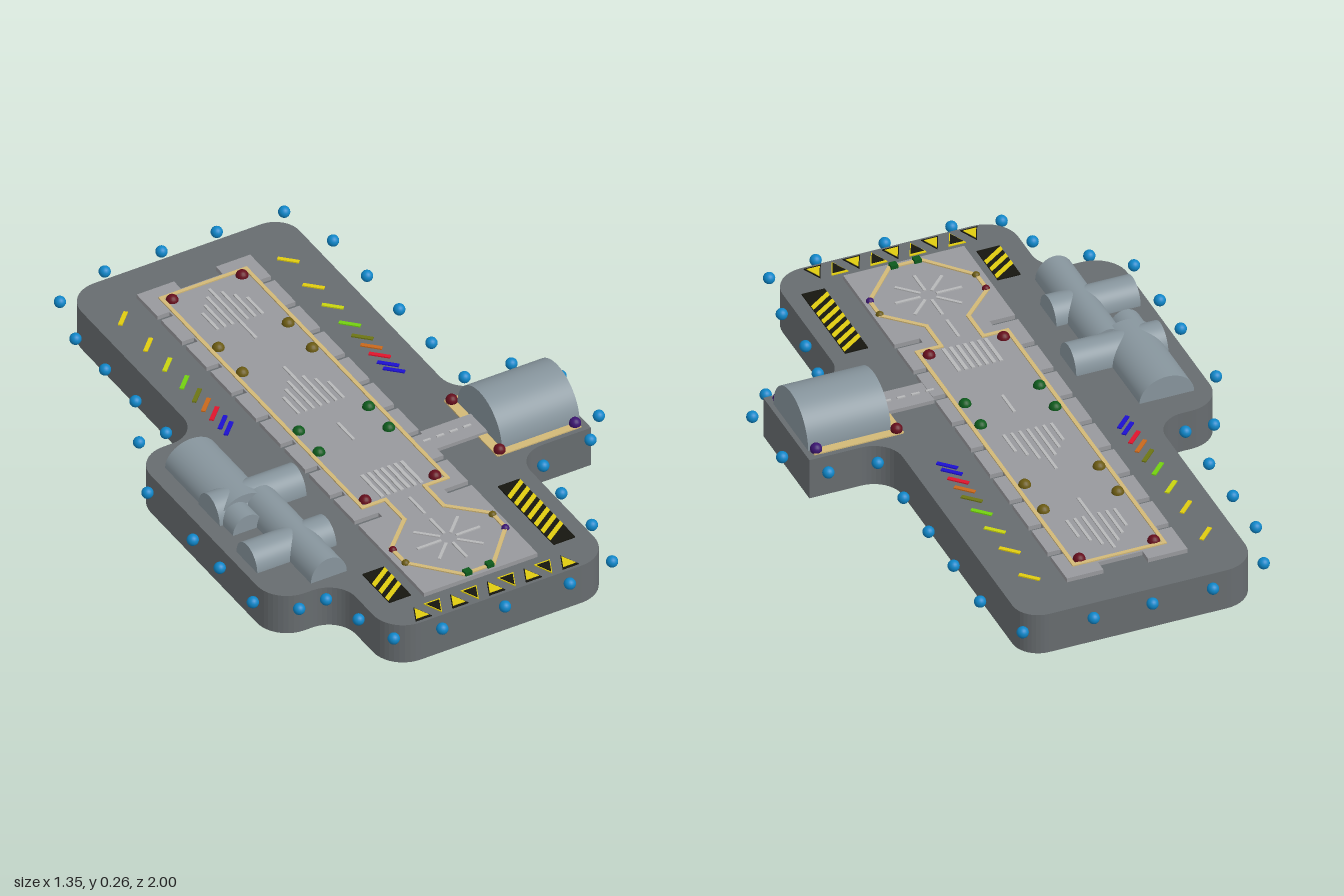
import * as THREE from 'three';

const DECK = 0.135, PLATE = 0.149;
const mats = {};
const mat = (c) => (mats[c] ??= new THREE.MeshStandardMaterial({ color: c }));
const YELLOW = 0xe0cc10, BLACK = 0x16160f, LINE = 0xd2b877, PAINT = 0xb6b7b9, RUNWAY = 0x98999d, STEEL = 0x87959d;

export function createModel() {
  const root = new THREE.Group();
  const group = (name) => {
    const g = new THREE.Group();
    g.name = name;
    root.add(g);
    return g;
  };
  const add = (parent, name, geo, color, x = 0, y = 0, z = 0, ry = 0) => {
    const m = new THREE.Mesh(geo, mat(color));
    m.name = name;
    m.position.set(x, y, z);
    m.rotation.y = ry;
    parent.add(m);
    return m;
  };
  // thin painted bar lying on a surface, centred at x, z
  const bar = (parent, name, color, x, z, w, d, y = PLATE, ry = 0, h = 0.004) =>
    add(parent, name, new THREE.BoxGeometry(w, h, d), color, x, y + h / 2, z, ry);
  // polygon (x, z points) raised from y by h
  const slab = (parent, name, color, pts, y, h) => {
    const s = new THREE.Shape(pts.map(([x, z]) => new THREE.Vector2(x, -z)));
    const g = new THREE.ExtrudeGeometry(s, { depth: h, bevelEnabled: false }).rotateX(-Math.PI / 2);
    return add(parent, name, g, color, 0, y, 0);
  };
  // painted line through points
  const path = (parent, name, pts, w, y) => {
    for (let i = 0; i + 1 < pts.length; i++) {
      const [[ax, az], [bx, bz]] = [pts[i], pts[i + 1]];
      const dx = bx - ax, dz = bz - az;
      bar(parent, name, LINE, (ax + bx) / 2, (az + bz) / 2, Math.hypot(dx, dz) + w * 0.8, w, y, -Math.atan2(dz, dx));
    }
  };

  // Platform: outline corners with radius, rounded by quadratic-free arcs
  const corners = [
    [-0.4, -0.935, 0.1], [0.34, -0.935, 0.08], [0.34, 0.045, 0.09], [0.595, 0.045, 0], [0.595, 0.385, 0],
    [0.34, 0.385, 0.09], [0.34, 0.94, 0.1], [-0.4, 0.94, 0.1], [-0.4, 0.65, 0.09], [-0.62, 0.65, 0.1],
    [-0.62, -0.16, 0.1], [-0.4, -0.16, 0.09]];
  const outline = [];
  corners.forEach(([x, z, r], i) => {
    if (!r) return outline.push([x, z]);
    const p = corners.at(i - 1), n = corners[(i + 1) % corners.length];
    const a = [Math.sign(p[0] - x), Math.sign(p[1] - z)], b = [Math.sign(n[0] - x), Math.sign(n[1] - z)];
    for (let k = 0; k <= 10; k++) {
      const t = (k / 10) * Math.PI / 2, u = r * (1 - Math.sin(t)), v = r * (1 - Math.cos(t));
      outline.push([x + a[0] * u + b[0] * v, z + a[1] * u + b[1] * v]);
    }
  });
  slab(root, 'platform', 0x676c6f, outline, 0, DECK);

  // Runway plate with notched edges
  const runway = group('runway');
  const right = [], left = [];
  for (let i = 0; i < 9; i++) {
    const z = -0.68 + i * 0.1415, d = i === 8 ? 0.08 : 0.04;
    right.push([0.15, z - 0.011], [0.15 - d, z - 0.011], [0.15 - d, z + 0.011], [0.15, z + 0.011]);
    left.push([-0.23, z - 0.011], [-0.23 + d, z - 0.011], [-0.23 + d, z + 0.011], [-0.23, z + 0.011]);
  }
  slab(runway, 'runwayPlate', RUNWAY, [
    [-0.23, -0.81], [-0.105, -0.81], [-0.105, -0.77], [0.035, -0.77], [0.035, -0.81], [0.15, -0.81],
    ...right, [0.15, 0.84], [-0.23, 0.84], ...left.reverse()], DECK, PLATE - DECK);
  bar(runway, 'taxiway', RUNWAY, 0.235, 0.213, 0.17, 0.095, DECK, 0, PLATE - DECK - 0.002);
  for (let i = 0; i < 4; i++) bar(runway, 'taxiwayDash', PAINT, 0.145 + i * 0.045, 0.213, 0.025, 0.008, PLATE - 0.002);

  // Runway border line and turning pad outline, mirrored about the centreline
  const CX = -0.037;
  for (const s of [-1, 1]) {
    path(runway, 'borderLine', [[0, -0.757], [0.142, -0.757], [0.142, 0.4], [0.066, 0.4], [0.066, 0.51],
      [0.168, 0.61], [0.168, 0.69], [0.05, 0.822], [0, 0.822]].map(([x, z]) => [CX + s * x, z]), 0.012, PLATE);
  }

  // White runway paint
  for (const z of [-0.5, -0.25, 0.06, 0.47]) bar(runway, 'centreDash', PAINT, CX, z, 0.009, 0.09);
  for (const [zEnd, len] of [[-0.545, 0.18], [-0.08, 0.18]]) {
    for (let i = -3; i <= 3; i++) {
      const l = len - Math.abs(i) * 0.03;
      bar(runway, 'fanStripe', PAINT, CX + i * 0.025, zEnd - l / 2, 0.009, l);
    }
  }
  for (let i = -3; i <= 3; i++) bar(runway, 'thresholdStripe', PAINT, CX + i * 0.022, 0.325, 0.011, 0.12);
  for (let i = 0; i < 8; i++) {
    const a = i * Math.PI / 4;
    bar(runway, 'padStar', PAINT, CX + Math.cos(a) * 0.065, 0.65 - Math.sin(a) * 0.065, 0.08, 0.009, PLATE, a);
  }

  // Signal lights
  const lights = group('lights');
  const light = (name, color, x, z, r, y = PLATE) =>
    add(lights, name, new THREE.SphereGeometry(r, 16, 10), color, x, y, z);
  const RED = 0x650d1c, OLIVE = 0x6a5a12, GREEN = 0x0d5a1c, PURPLE = 0x3b1470;
  for (const [z, c] of [[-0.735, RED], [-0.47, OLIVE], [-0.332, OLIVE], [-0.008, GREEN], [0.108, GREEN], [0.373, RED]])
    for (const x of [-0.155, 0.079]) light('runwayLight', c, x, z, 0.019);
  for (const s of [-1, 1]) {
    light('padLight', s < 0 ? RED : OLIVE, CX + s * 0.167, 0.617, 0.012);
    light('padLight', s < 0 ? OLIVE : PURPLE, CX + s * 0.167, 0.69, 0.012);
    bar(lights, 'padEndLight', GREEN, CX + s * 0.037, 0.822, 0.022, 0.022, PLATE, 0, 0.012);
  }

  // Slanted coloured deck marks along both runway sides
  const deckPaint = group('deckMarkings');
  const marks = [[-0.745, YELLOW], [-0.6, YELLOW], [-0.49, 0xc8d410], [-0.392, 0x72d010], [-0.32, 0x6c7414],
    [-0.268, 0xc8681c], [-0.22, 0xe0142c], [-0.172, 0x1c10d0], [-0.138, 0x1c10d0]];
  for (const [z, c] of marks)
    for (const s of [-1, 1]) bar(deckPaint, 'slantedMark', c, CX + s * 0.277, z, 0.065, 0.013, DECK, -s * Math.PI / 4);

  // Hazard panels with slanted stripes clipped to the panel edges
  for (const [x, z0, z1] of [[-0.295, 0.66, 0.815], [0.255, 0.495, 0.815]]) {
    bar(deckPaint, 'hazardPanel', BLACK, x, (z0 + z1) / 2, 0.072, z1 - z0, DECK);
    for (let z = z0 + 0.055; z + 0.018 <= z1 + 0.001; z += 0.038)
      slab(deckPaint, 'hazardStripe', YELLOW, [[x - 0.036, z], [x + 0.036, z - 0.05], [x + 0.036, z - 0.032],
        [x - 0.036, z + 0.018]], DECK + 0.003, 0.003);
  }

  // Row of alternating warning triangles at the front edge
  for (let i = 0; i < 9; i++) {
    const x = -0.283 + i * 0.0615, up = i % 2 === 0;
    const tri = (name, c, w, h, y) => {
      const d = up ? -1 : 1;
      slab(deckPaint, name, c, [[x - w, 0.9 - d * h], [x + w, 0.9 - d * h], [x, 0.9 + d * h]], y, 0.003);
    };
    tri('warningTriangle', up ? BLACK : YELLOW, 0.027, 0.03, DECK);
    tri('warningTriangleFace', up ? YELLOW : BLACK, 0.021, 0.023, DECK + 0.002);
  }

  // Barrel-vaulted buildings: half cylinder of radius r and height h, along x or z
  const vault = (parent, name, alongX, x, z, len, r, h, color = STEEL) => {
    const g = new THREE.CylinderGeometry(r, r, len, 36, 1, false, -Math.PI / 2, Math.PI)
      .rotateX(-Math.PI / 2).scale(1, h / r, 1);
    // the upper half faces +y; end caps close both gables
    return add(parent, name, g, color, x, DECK, z, alongX ? Math.PI / 2 : 0);
  };
  const hangar = group('hangar');
  vault(hangar, 'hangarShell', true, 0.45, 0.217, 0.26, 0.128, 0.124);
  path(hangar, 'hangarApronLine', [[0.56, 0.076], [0.305, 0.076], [0.305, 0.355], [0.56, 0.355]], 0.03, DECK);
  for (const z of [0.078, 0.353]) {
    light('hangarLight', RED, 0.307, z, 0.018, 0.145);
    light('hangarLight', PURPLE, 0.56, z, 0.018, 0.145);
  }

  const quarters = group('quarters');
  vault(quarters, 'mainHall', false, -0.48, 0.085, 0.31, 0.086, 0.073);
  vault(quarters, 'mainHallWing', true, -0.425, 0.19, 0.29, 0.061, 0.07);
  vault(quarters, 'mainHallPorch', false, -0.51, 0.265, 0.09, 0.05, 0.055);
  vault(quarters, 'rearHall', false, -0.42, 0.42, 0.4, 0.06, 0.068);
  vault(quarters, 'rearHallWing', true, -0.457, 0.44, 0.265, 0.06, 0.064);

  // Perimeter beacons floating around the platform
  const beacons = group('beacons');
  const spots = [
    [-0.235, -0.985], [-0.045, -0.985], [0.14, -0.985], [0.357, -0.97], [-0.42, -0.925], [-0.47, -0.75],
    [-0.47, -0.58], [-0.47, -0.405], [-0.47, -0.23], [-0.56, -0.23], [-0.66, -0.01], [-0.66, 0.25],
    [-0.66, 0.405], [-0.66, 0.595], [-0.56, 0.69], [-0.47, 0.69], [-0.437, 0.82], [-0.395, 0.95],
    [-0.25, 0.98], [-0.04, 0.98], [0.177, 0.98], [0.336, 0.95], [0.373, 0.77], [0.373, 0.595],
    [0.394, 0.455], [0.574, 0.417], [0.653, 0.33], [0.653, 0.11], [0.56, -0.013], [0.41, -0.025],
    [0.41, -0.215], [0.41, -0.4], [0.41, -0.585], [0.41, -0.78]];
  const ball = new THREE.SphereGeometry(0.018, 18, 12);
  for (const [x, z] of spots) add(beacons, 'beacon', ball, 0x0f86c8, x, 0.12, z);

  return root;
}
